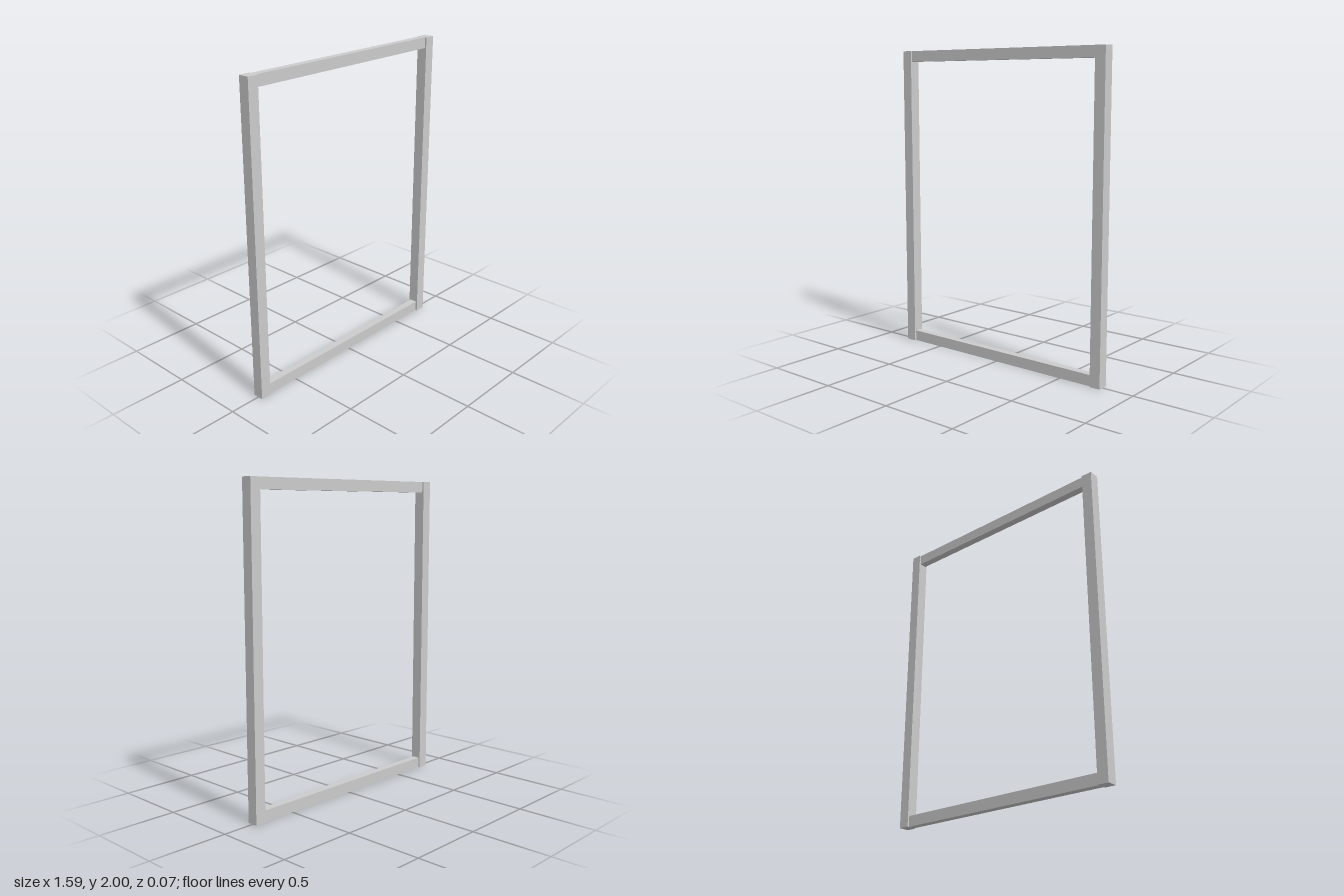
import * as THREE from 'three';

const HEIGHT = 2;
const WIDTH = 1.59;
const POST = 0.07; // square section of the posts, also the rail height
const RAIL_DEPTH = 0.048;

export function createModel() {
  const group = new THREE.Group();
  const material = new THREE.MeshStandardMaterial({ color: 0xcccccc });

  function addBar(name, w, h, d, x, y) {
    const bar = new THREE.Mesh(new THREE.BoxGeometry(w, h, d), material);
    bar.name = name;
    bar.position.set(x, y, 0);
    group.add(bar);
  }

  // Upright posts on both sides
  const postX = (WIDTH - POST) / 2;
  addBar('leftPost', POST, HEIGHT, POST, postX, HEIGHT / 2);
  addBar('rightPost', POST, HEIGHT, POST, -postX, HEIGHT / 2);

  // Thinner horizontal rails set between the posts
  const railLength = WIDTH - 2 * POST;
  addBar('topRail', railLength, POST, RAIL_DEPTH, 0, HEIGHT - POST / 2);
  addBar('bottomRail', railLength, POST, RAIL_DEPTH, 0, POST / 2);

  return group;
}
